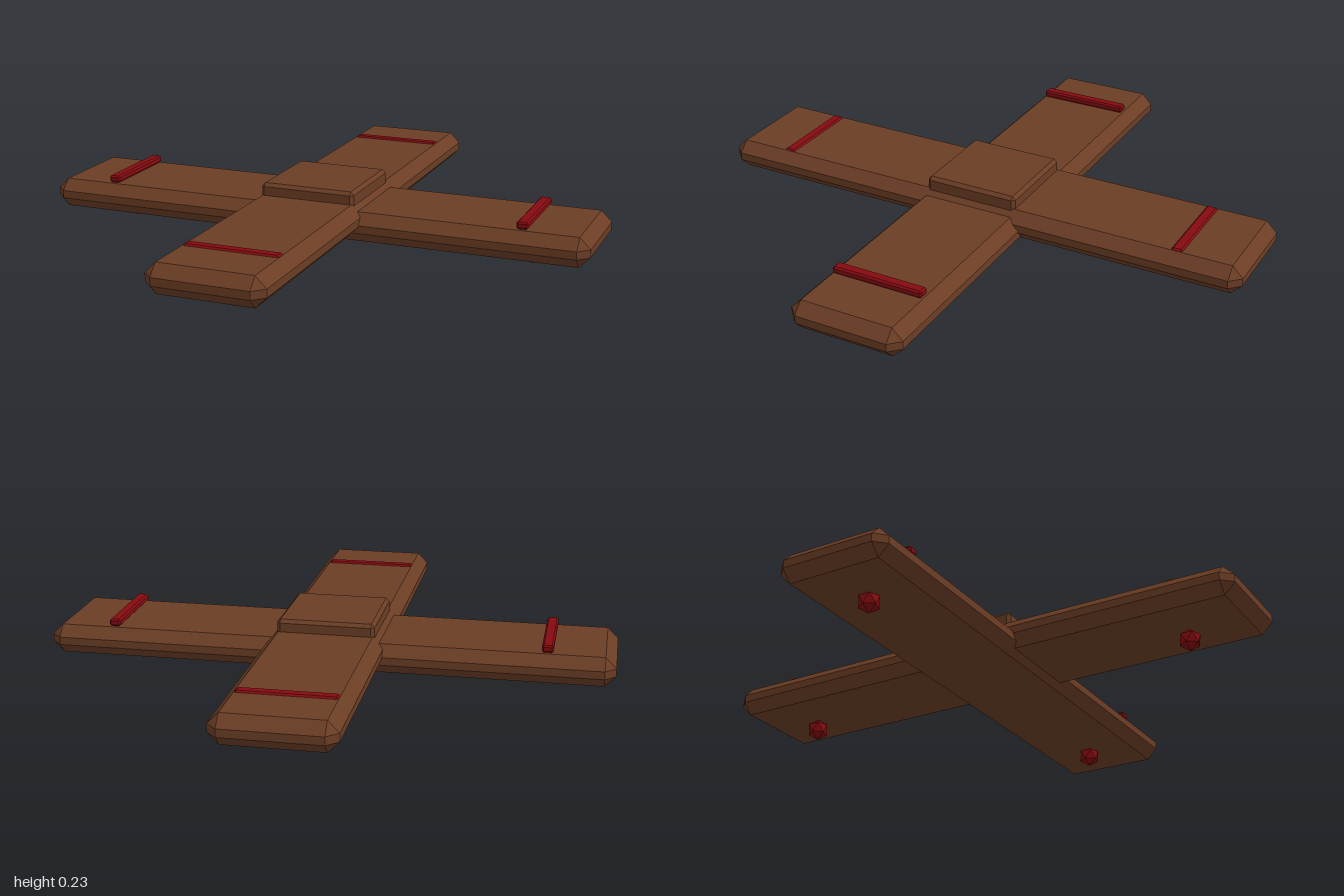
import * as THREE from 'three';
import { ConvexGeometry } from 'three/addons/geometries/ConvexGeometry.js';

const wood = new THREE.MeshStandardMaterial({ name: 'brown wood', color: 0x6b3d24 });
const red = new THREE.MeshStandardMaterial({ name: 'dark red', color: 0x850a10 });

// Box with every edge cut by a flat bevel and a small triangle at each corner
function bevelBox(w, h, d, b) {
  const pts = [];
  for (const sx of [-1, 1]) for (const sy of [-1, 1]) for (const sz of [-1, 1]) {
    for (let axis = 0; axis < 3; axis++) {
      const inset = [b, b, b];
      inset[axis] = 0;
      pts.push(new THREE.Vector3(
        sx * (w / 2 - inset[0]), sy * (h / 2 - inset[1]), sz * (d / 2 - inset[2])));
    }
  }
  return new ConvexGeometry(pts);
}

export function createModel() {
  const model = new THREE.Group();
  model.name = 'crossedPlanks';

  const add = (name, geometry, material, x, y, z, turn = 0) => {
    const mesh = new THREE.Mesh(geometry, material);
    mesh.name = name;
    mesh.position.set(x, y, z);
    mesh.rotation.y = turn;
    model.add(mesh);
  };

  // Two crossed planks, the front-to-back one slightly higher
  const plank = bevelBox(2, 0.104, 0.41, 0.038);
  add('sidewaysPlank', plank, wood, 0, 0.114, 0);
  add('lengthwisePlank', plank, wood, 0, 0.136, 0, Math.PI / 2);

  // Raised block over the crossing
  add('centreBlock', bevelBox(0.345, 0.08, 0.345, 0.012), wood, 0, 0.192, 0);

  // Low-poly foot standing on a vertex
  const foot = new THREE.IcosahedronGeometry(0.04, 0);
  foot.rotateZ(-Math.atan(2 / (1 + Math.sqrt(5))));

  // A strap on top and a foot below, near the end of each arm
  const strap = bevelBox(0.04, 0.026, 0.33, 0.006);
  const arms = [['left', 1, 0], ['right', -1, 0], ['front', 0, 1], ['back', 0, -1]];
  for (const [side, x, z] of arms) {
    add(side + 'Strap', strap, red, x * 0.767, 0.181, z * 0.767, z ? Math.PI / 2 : 0);
    add(side + 'Foot', foot, red, x * 0.767, 0.042, z * 0.767);
  }
  return model;
}
